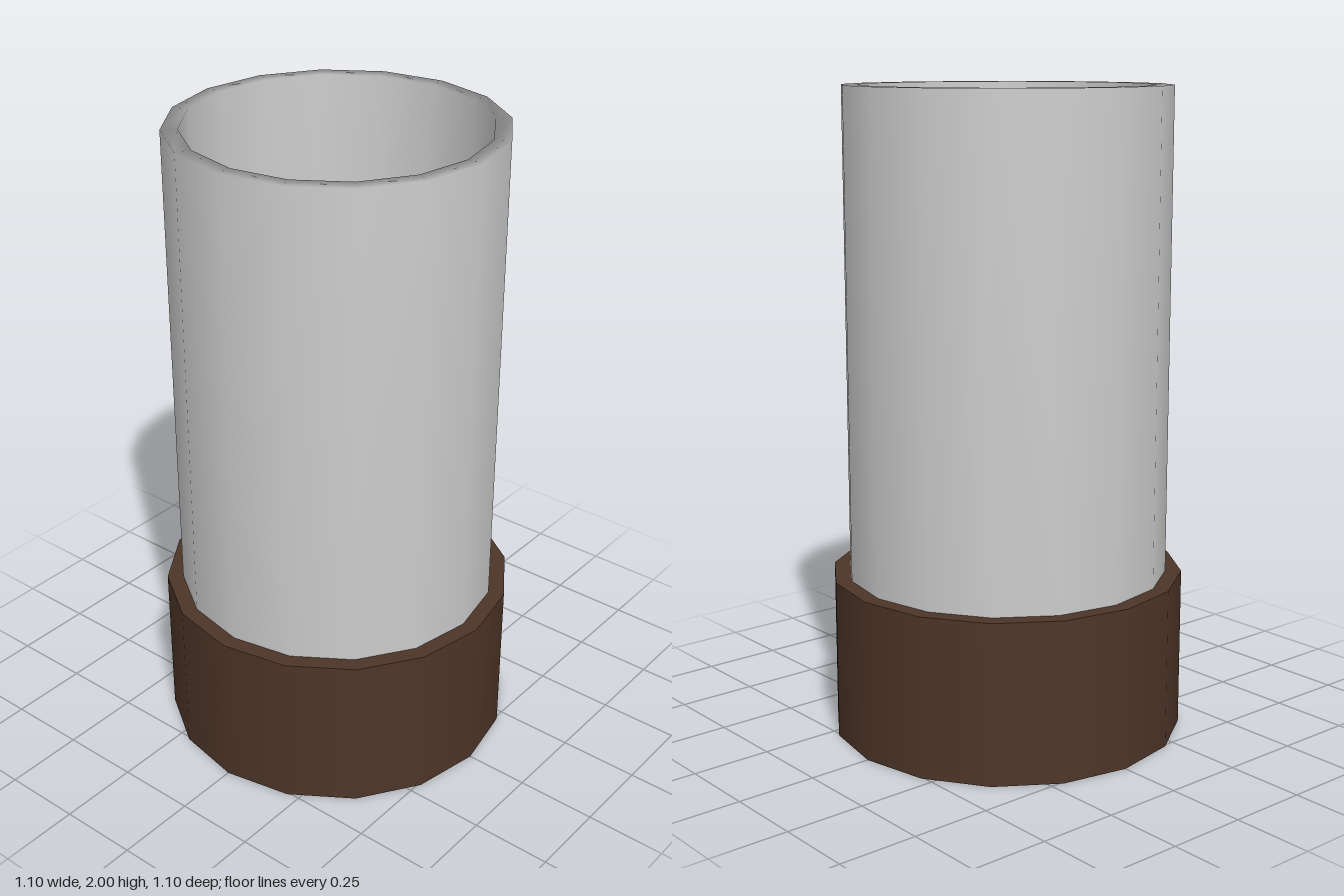
import * as THREE from 'three';

const SIDES = 16;

function mat(color, options = {}) {
  return new THREE.MeshStandardMaterial({ color, ...options });
}

function addMesh(parent, name, geometry, material, y = 0) {
  const mesh = new THREE.Mesh(geometry, material);
  mesh.name = name;
  mesh.position.y = y;
  parent.add(mesh);
  return mesh;
}

// A pointed blade rising outward along +z, widest below its middle, creased along the midrib.
function bladeGeometry(run, rise) {
  const section = (t, halfWidth, fold) => {
    const y = rise * t, z = run * t;
    return [[-halfWidth, y + fold, z], [0, y, z], [halfWidth, y + fold, z]];
  };
  const base = section(0, 0.03, 0.006);
  const mid = section(0.4, 0.055, 0.012);
  const tip = [0, rise, run];
  const faces = [];
  for (let i = 0; i < 2; i++) {
    faces.push(base[i], mid[i], mid[i + 1], base[i], mid[i + 1], base[i + 1]);
    faces.push(mid[i], tip, mid[i + 1]);
  }
  const geometry = new THREE.BufferGeometry();
  geometry.setAttribute('position', new THREE.Float32BufferAttribute(faces.flat(), 3));
  geometry.computeVertexNormals();
  return geometry;
}

export function createModel() {
  const model = new THREE.Group();
  model.name = 'plantTerrarium';

  // Base and soil
  addMesh(model, 'base', new THREE.CylinderGeometry(0.55, 0.55, 0.5, SIDES), mat(0x4d3528), 0.25);
  addMesh(model, 'soil', new THREE.CylinderGeometry(0.45, 0.45, 0.05, SIDES), mat(0xa5895a), 0.525);

  // Open tube with a wall thickness, closed at the rim
  const wall = [[0.5, 0.5], [0.5, 2], [0.45, 2], [0.45, 0.5]].map(([r, y]) => new THREE.Vector2(r, y));
  addMesh(model, 'glassTube', new THREE.LatheGeometry(wall, SIDES), mat(0xcccccc, { side: THREE.DoubleSide }));

  // Plant: a stubby stem carrying a rosette of blades
  const plant = new THREE.Group();
  plant.name = 'plant';
  model.add(plant);
  const green = mat(0x6f8f2c, { flatShading: true, side: THREE.DoubleSide });
  addMesh(plant, 'stem', new THREE.CylinderGeometry(0.1, 0.1, 0.3, 6), green, 0.7);

  // Blade tips as [x, z]; shorter reach means a steeper blade set higher on the stem
  const tips = [
    [-0.04, -0.43], [-0.15, -0.37], [-0.28, -0.31], [-0.33, -0.19], [-0.35, -0.07], [-0.33, 0.05],
    [-0.38, 0.18], [-0.2, 0.19], [-0.21, 0.4], [-0.06, 0.37], [0, 0.44], [0.21, 0.4],
    [0.26, 0.35], [0.23, 0.21], [0.31, 0.21], [0.43, 0.12], [0.39, -0.01], [0.33, -0.13],
    [0.35, -0.27], [0.22, -0.31], [0.23, -0.37], [0.06, -0.26], [-0.17, -0.05],
  ];
  const stemRadius = 0.09, bladeLength = 0.42;
  for (const [x, z] of tips) {
    const reach = Math.hypot(x, z);
    const run = reach - stemRadius;
    const rise = Math.sqrt(bladeLength ** 2 - run ** 2);
    const blade = addMesh(plant, 'leaf', bladeGeometry(run, rise), green);
    const angle = Math.atan2(x, z);
    blade.rotation.y = angle;
    blade.position.set(
      stemRadius * Math.sin(angle),
      THREE.MathUtils.mapLinear(reach, 0.18, 0.45, 0.82, 0.62),
      stemRadius * Math.cos(angle),
    );
  }

  return model;
}
